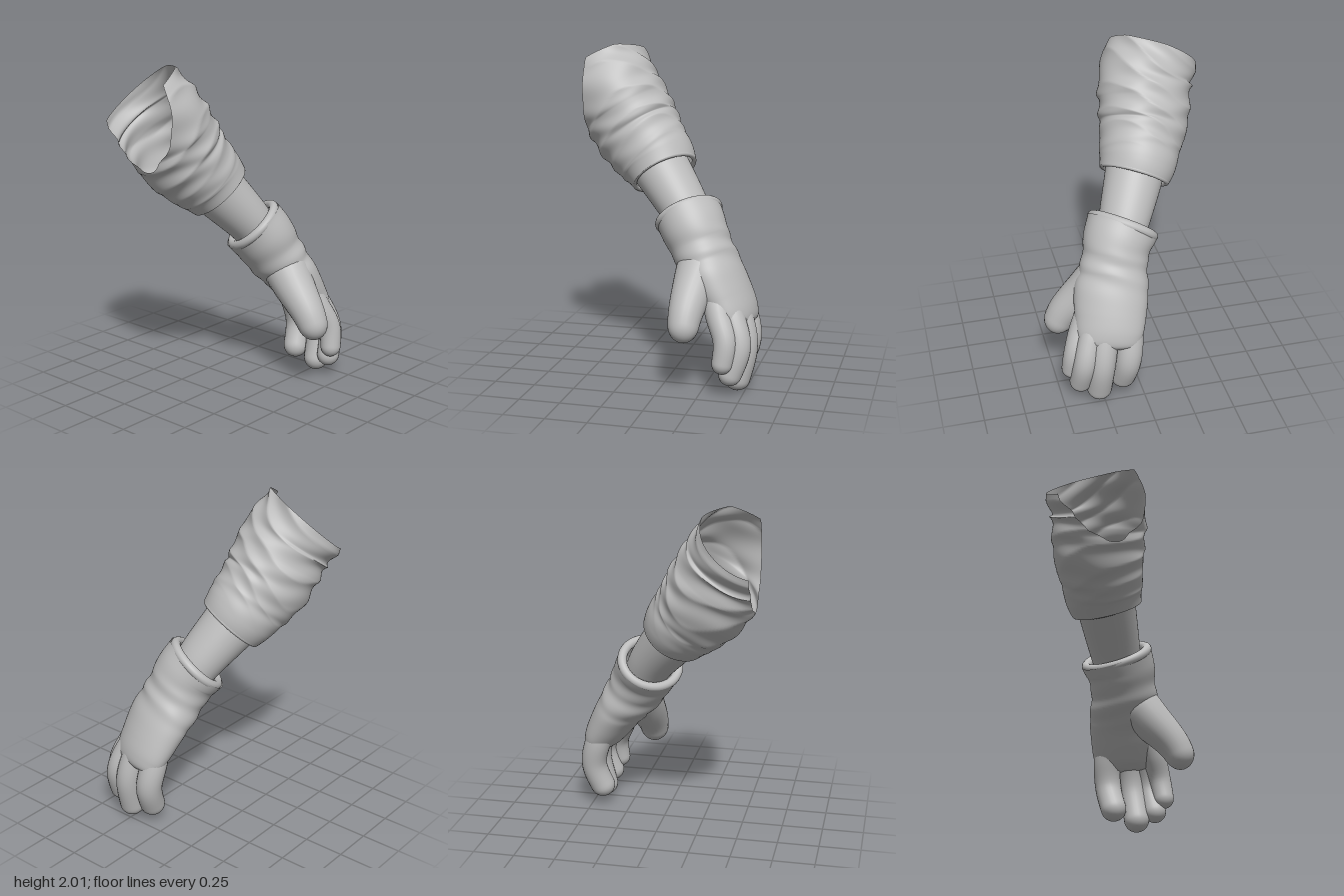
import * as THREE from 'three';

const cloth = new THREE.MeshStandardMaterial({ color: 0xbcbcbc, side: THREE.DoubleSide });
cloth.name = 'light grey';
const V = (x, y, z) => new THREE.Vector3(x, y, z);

// Skin a row of stations [x, y, z, halfWidth, halfDepth] with smooth oval rings.
// fold(s, a) offsets the surface; clipX trims the open end on a flat plane.
function loft(name, stations, { rings = 40, sides = 48, hint = V(-0.15, 0, 1), fold = () => 0, clipX = null } = {}) {
  const path = new THREE.CatmullRomCurve3(stations.map(s => V(s[0], s[1], s[2])), false, 'catmullrom');
  const size = new THREE.CatmullRomCurve3(stations.map(s => V(s[3], s[4], 0)), false, 'catmullrom');
  const grid = [], index = [];
  for (let i = 0; i <= rings; i++) {
    const s = i / rings, c = path.getPoint(s), t = path.getTangent(s), r = size.getPoint(s);
    const u = hint.clone().addScaledVector(t, -hint.dot(t)).normalize();
    const v = t.clone().cross(u);
    for (let j = 0; j < sides; j++) {
      const a = j / sides * Math.PI * 2, f = fold(s, a);
      const p = c.clone()
        .addScaledVector(u, (Math.max(r.x, 0) + f) * Math.cos(a))
        .addScaledVector(v, (Math.max(r.y, 0) + f) * Math.sin(a));
      if (clipX !== null && i > 0 && p.x < clipX) {
        const q = grid[(i - 1) * sides + j];
        const k = q.x > clipX ? (q.x - clipX) / (q.x - p.x) : 0;
        p.lerpVectors(q, p.clone(), k);
      }
      grid.push(p);
      if (i < rings) {
        const n = (j + 1) % sides, A = i * sides + j, B = i * sides + n;
        index.push(A, B, A + sides, B, B + sides, A + sides);
      }
    }
  }
  const g = new THREE.BufferGeometry().setFromPoints(grid);
  g.setIndex(index);
  g.computeVertexNormals();
  const mesh = new THREE.Mesh(g, cloth);
  mesh.name = name;
  return mesh;
}

// Rounded, tapering finger along a bent path
function digit(name, points, r0, r1) {
  const curve = new THREE.CatmullRomCurve3(points.map(p => V(...p)));
  const len = curve.getLength(), n = 28, st = [];
  for (let i = 0; i <= n; i++) {
    const s = 0.5 - 0.5 * Math.cos(Math.PI * i / n);
    const p = curve.getPointAt(s), r = r0 + (r1 - r0) * s;
    const d = Math.min(1, Math.min(s, 1 - s) * len / r);
    const w = r * Math.sqrt(Math.max(0, 1 - (1 - d) ** 2));
    st.push([p.x, p.y, p.z, w, w]);
  }
  return loft(name, st, { rings: n * 2, sides: 24 });
}

// Rolled edge around an oval opening
function rim(name, centre, axis, hint, width, depth, tube) {
  const t = V(...axis).normalize();
  const u = hint.clone().addScaledVector(t, -hint.dot(t)).normalize();
  const v = t.clone().cross(u), ring = [];
  for (let i = 0; i < 16; i++) {
    const a = i / 16 * Math.PI * 2;
    ring.push(V(...centre).addScaledVector(u, width * Math.cos(a)).addScaledVector(v, depth * Math.sin(a)));
  }
  const mesh = new THREE.Mesh(new THREE.TubeGeometry(new THREE.CatmullRomCurve3(ring, true), 64, tube, 14, true), cloth);
  mesh.name = name;
  return mesh;
}

export function createModel() {
  const model = new THREE.Group();
  model.name = 'glovedArm';

  // Rolled-up sleeve with slanting folds that deepen towards the open end
  const sleeveFold = (s, a) => {
    const wave = Math.sin(s * 44 + 2.2 * Math.sin(a + 0.6) + 0.8 * Math.sin(3 * a));
    const crease = Math.sin(s * 21 - 2.6 * Math.cos(a - 0.4) + Math.sin(2 * a + 4 * s));
    const ramp = Math.min(1, Math.max(0, (s - 0.12) * 3));
    return ramp * (0.004 * wave + (0.002 + 0.006 * s) * (1 - 2 * Math.abs(crease)));
  };
  const armHint = V(-0.4, 0, 1);
  model.add(loft('sleeve', [
    [-0.085, 1.228, -0.078, 0.218, 0.208],
    [-0.135, 1.295, -0.113, 0.238, 0.232],
    [-0.20, 1.365, -0.142, 0.25, 0.252],
    [-0.285, 1.465, -0.185, 0.273, 0.272],
    [-0.36, 1.585, -0.21, 0.283, 0.28],
    [-0.44, 1.70, -0.235, 0.288, 0.28],
    [-0.525, 1.825, -0.303, 0.285, 0.272],
  ], { rings: 110, sides: 96, hint: armHint, fold: sleeveFold, clipX: -0.58 }));
  model.add(rim('sleeveHem', [-0.088, 1.232, -0.08], [-0.52, 0.74, -0.4], armHint, 0.204, 0.195, 0.014));

  // Bare forearm, ending just inside the sleeve
  model.add(loft('forearm', [
    [-0.215, 1.375, -0.145, 0, 0],
    [-0.205, 1.362, -0.138, 0.175, 0.172],
    [-0.15, 1.295, -0.105, 0.18, 0.175],
    [-0.085, 1.22, -0.075, 0.178, 0.17],
    [0.06, 1.04, 0.015, 0.158, 0.145],
    [0.13, 0.93, 0.06, 0.14, 0.13],
  ], { hint: armHint }));

  // Glove cuff, wrist and palm in one skin
  const gloveFold = (s, a) => {
    const band = Math.exp(-(((s - 0.34) / 0.14) ** 2));
    return band * 0.005 * Math.sin(s * 40 + 2.4 * Math.sin(a + 1));
  };
  model.add(loft('gloveBody', [
    [0.095, 0.995, 0.038, 0.224, 0.198],
    [0.138, 0.925, 0.08, 0.212, 0.195],
    [0.187, 0.835, 0.11, 0.2, 0.183],
    [0.245, 0.745, 0.136, 0.212, 0.167],
    [0.31, 0.655, 0.165, 0.225, 0.148],
    [0.383, 0.54, 0.187, 0.215, 0.13],
    [0.435, 0.45, 0.207, 0.2, 0.108],
    [0.455, 0.395, 0.217, 0.165, 0.075],
    [0.46, 0.365, 0.22, 0, 0],
  ], { rings: 80, sides: 64, hint: V(-0.22, 0, 1), fold: gloveFold }));
  model.add(rim('cuffRim', [0.097, 0.992, 0.04], [-0.5, 0.72, -0.47], V(-0.6, 0, 1), 0.197, 0.17, 0.029));

  // Thumb with its broad heel, and four curled fingers
  const digits = [
    ['thumb', [[0.23, 0.80, 0.14], [0.192, 0.64, 0.285], [0.168, 0.48, 0.43], [0.165, 0.338, 0.505]], 0.158, 0.08],
    ['indexFinger', [[0.31, 0.60, 0.28], [0.352, 0.47, 0.355], [0.402, 0.33, 0.413], [0.383, 0.145, 0.442]], 0.085, 0.06],
    ['middleFinger', [[0.38, 0.54, 0.27], [0.437, 0.43, 0.325], [0.475, 0.29, 0.365], [0.408, 0.065, 0.395]], 0.078, 0.068],
    ['ringFinger', [[0.41, 0.54, 0.20], [0.46, 0.43, 0.235], [0.492, 0.27, 0.262], [0.435, 0, 0.28]], 0.08, 0.077],
    ['littleFinger', [[0.40, 0.56, 0.10], [0.453, 0.43, 0.085], [0.483, 0.27, 0.102], [0.405, 0.055, 0.132]], 0.085, 0.077],
  ];
  for (const d of digits) model.add(digit(...d));
  return model;
}
